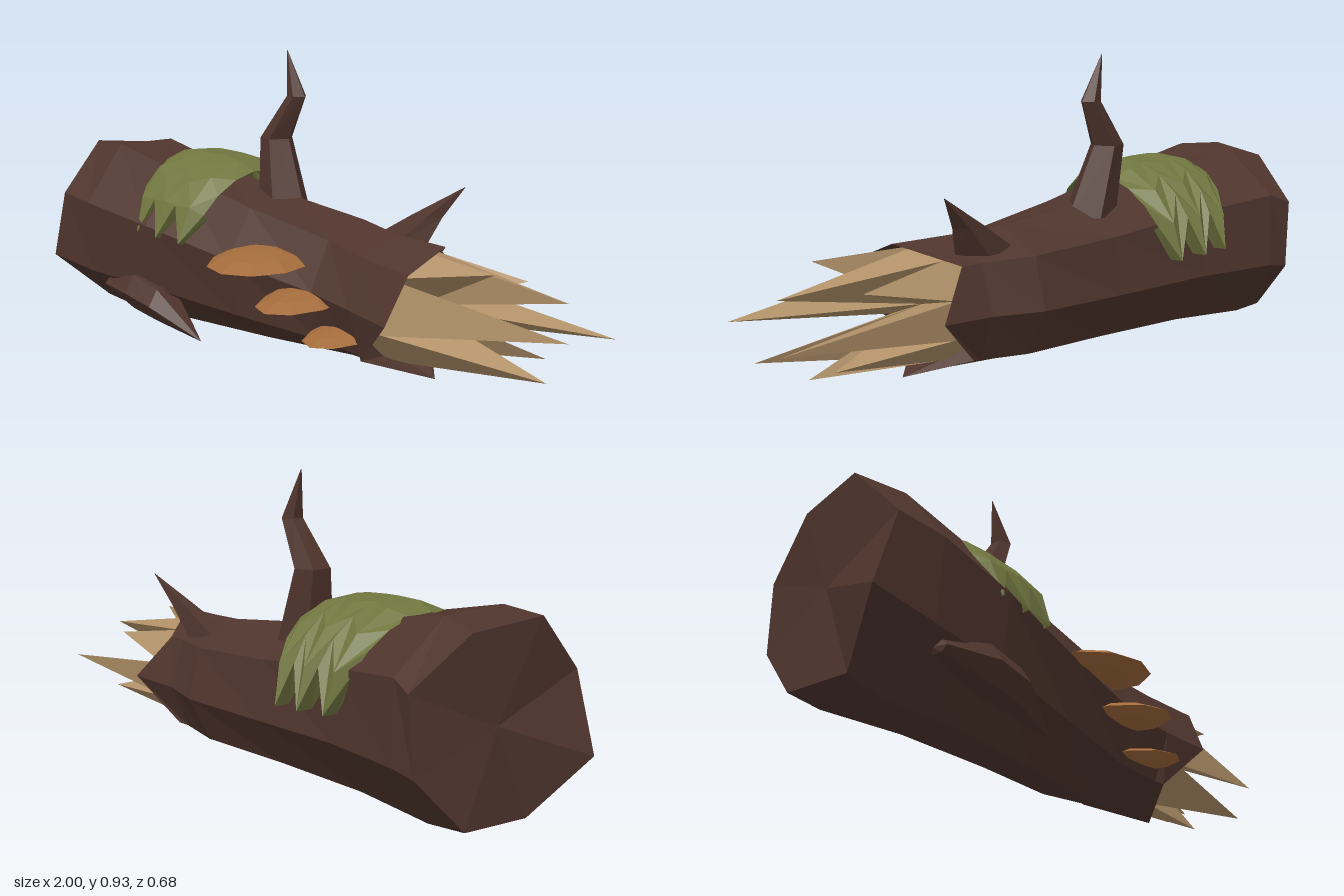
import * as THREE from 'three';

const mat = (name, color, side = THREE.FrontSide) => {
  const m = new THREE.MeshStandardMaterial({ color, side });
  m.name = name;
  return m;
};

// Faceted geometry from a list of triangles (each three [x, y, z] points)
function facets(tris) {
  const g = new THREE.BufferGeometry();
  g.setAttribute('position', new THREE.Float32BufferAttribute(tris.flat(2), 3));
  g.computeVertexNormals();
  return g;
}

// Skin between successive rings; optional centre points close the two ends
function loft(rings, startCentre, endCentre) {
  const tris = [], n = rings[0].length, last = rings[rings.length - 1];
  for (let i = 0; i < n; i++) {
    const j = (i + 1) % n;
    for (let r = 0; r + 1 < rings.length; r++) {
      const A = rings[r], B = rings[r + 1];
      tris.push([A[i], B[i], A[j]], [B[i], B[j], A[j]]);
    }
    if (startCentre) tris.push([startCentre, rings[0][i], rings[0][j]]);
    if (endCentre) tris.push([endCentre, last[j], last[i]]);
  }
  return facets(tris);
}

const ring = (n, fn) => Array.from({ length: n }, (_, i) => fn((i / n) * Math.PI * 2, i));
const rad = THREE.MathUtils.degToRad;

export function createModel() {
  const group = new THREE.Group();
  const bark = mat('bark', 0x4f352d);
  const wood = mat('splinteredWood', 0xb29269);
  const moss = mat('moss', 0x70763f, THREE.DoubleSide);
  const fungus = mat('fungus', 0xa36b3b);
  const add = (name, geo, material) => {
    const m = new THREE.Mesh(geo, material);
    m.name = name;
    group.add(m);
    return m;
  };

  // Trunk: eight-sided rings [x, centre y, centre z, radius y, radius z, twist]
  const buttX = [-0.93, -0.94, -0.9, -0.85, -0.86, -0.9, -0.91, -1];
  const lipX = [0.49, 0.52, 0.53, 0.4, 0.51, 0.36, 0.5, 0.35];
  const bulge = [1, 1.01, 0.92, 1, 0.94, 0.97, 1, 1];
  const sections = [
    [buttX, 0.305, -0.05, 0.3, 0.305, 22],
    [-0.78, 0.305, -0.04, 0.315, 0.305, 18],
    [-0.5, 0.28, -0.025, 0.28, 0.27, 16],
    [-0.15, 0.24, -0.03, 0.24, 0.235, 12],
    [0.17, 0.215, -0.05, 0.215, 0.22, 6],
    [0.33, 0.205, -0.02, 0.205, 0.205, 3],
    [lipX, 0.2, -0.01, 0.2, 0.225, 0],
    [0.34, 0.21, -0.015, 0.165, 0.17, 0],
  ];
  const trunkRings = sections.map(([x, cy, cz, ry, rz, twist]) => ring(8, (a, i) => {
    const t = a + rad(twist), k = THREE.MathUtils.lerp(1, bulge[i], twist / 22);
    return [Array.isArray(x) ? x[i] : x, cy + Math.sin(t) * ry * k, cz + Math.cos(t) * rz * k];
  }));
  add('trunk', loft(trunkRings, [-0.9, 0.3, -0.05], [0.34, 0.21, -0.015]), bark);

  // Splinters: [angle, tip x, tip radius], each a pyramid leaning out of the broken end
  const spikes = [
    [10, 1, 0.105], [63, 0.75, 0.175], [105, 0.92, 0.09], [145, 0.72, 0.165],
    [190, 0.99, 0.165], [225, 0.8, 0.16], [260, 0.83, 0.15], [310, 0.93, 0.14],
  ];
  const polar = (deg, r, x) => [x, 0.21 + Math.sin(rad(deg)) * r, -0.015 + Math.cos(rad(deg)) * r];
  const heart = [0.43, 0.21, -0.015];
  const splinters = [];
  spikes.forEach(([a, x, r], i) => {
    const prev = i ? spikes[i - 1][0] : spikes[7][0] - 360;
    const next = i < 7 ? spikes[i + 1][0] : spikes[0][0] + 360;
    const a0 = (a + prev) / 2, a1 = (a + next) / 2;
    const p0 = polar(a0, 0.174, 0.43), p1 = polar(a1, 0.174, 0.43);
    const q0 = polar(a0, 0.174, 0.33), q1 = polar(a1, 0.174, 0.33);
    const tip = polar(a, r, x);
    splinters.push([p0, tip, p1], [tip, p0, heart], [p1, tip, heart], [q0, p0, q1], [p0, p1, q1]);
  });
  add('splinters', facets(splinters), wood);

  // Upright branches: horizontal rings [x, y, z, radius x, radius z]
  const branch = (name, rows) => add(name, loft(rows.map(([x, y, z, rx, rz]) =>
    ring(5, (a) => [x + Math.cos(a) * rx, y, z + Math.sin(a) * rz]))), bark);
  branch('crookedBranch', [
    [-0.17, 0.42, -0.08, 0.085, 0.088], [-0.225, 0.64, -0.1, 0.053, 0.057],
    [-0.145, 0.78, -0.11, 0.034, 0.032], [-0.19, 0.925, -0.113, 0.001, 0.001],
  ]);
  branch('brokenTwig', [
    [0.27, 0.36, -0.11, 0.11, 0.065], [0.36, 0.45, -0.145, 0.055, 0.034],
    [0.47, 0.545, -0.183, 0.001, 0.001],
  ]);

  // Root stub leaning forward and down to the ground
  const stub = [
    [-0.73, 0.125, 0.19, 0.02, 0.035], [-0.57, 0.125, 0.195, 0.065, 0.075],
    [-0.45, 0.1, 0.2, 0.06, 0.07], [-0.28, 0.005, 0.2, 0.001, 0.001],
  ];
  add('rootStub', loft(stub.map(([x, y, z, ry, rz]) =>
    ring(6, (a) => [x, y + Math.sin(a) * ry, z + Math.cos(a) * rz])), [-0.74, 0.125, 0.18]), bark);

  // Moss: a domed sheet draped over the trunk, its zigzag ends tucked in under the tips
  const cols = 6, rows = 7, sheet = [];
  const mossPoint = (c, r) => {
    const u = c / cols, v = THREE.MathUtils.clamp(r / rows, 0, 1), drip = c % 2;
    const ang = rad(THREE.MathUtils.lerp(drip ? 10 : 33, drip ? 177 : 152, v));
    const spread = 0.19 - 0.04 * Math.pow(2 * v - 1, 2);
    const dome = 1 - Math.pow(2 * u - 1, 4);
    const tucked = r < 0 || r > rows;
    const radius = tucked ? 0.24 : 0.27 + 0.035 * dome - 0.008 * Math.pow(2 * v - 1, 2);
    return [-0.435 + (2 * u - 1) * spread, 0.288 - 0.02 * u + Math.sin(ang) * radius,
      -0.043 + Math.cos(ang) * radius];
  };
  for (let c = 0; c < cols; c++) for (let r = -1; r <= rows; r++) {
    const a = mossPoint(c, r), b = mossPoint(c + 1, r);
    const d = mossPoint(c, r + 1), e = mossPoint(c + 1, r + 1);
    if (c % 2) sheet.push([a, b, d], [b, e, d]);
    else sheet.push([a, b, e], [a, e, d]);
  }
  add('mossPatch', facets(sheet), moss);

  // Shelf fungi: flattened caps half sunk into the bark, drooping slightly
  const profile = [[0, -0.022], [0.65, -0.016], [1, 0], [0.7, 0.025], [0.3, 0.04], [0, 0.042]]
    .map(([x, y]) => new THREE.Vector2(x, y));
  [[-0.035, 0.302, 0.17, 0.165, 0.17, 1], [0.125, 0.206, 0.14, 0.125, 0.18, 0.9],
    [0.255, 0.117, 0.1, 0.105, 0.165, 0.7]].forEach(([x, y, z, rx, rz, h], i) => {
    const g = new THREE.LatheGeometry(profile, 10).scale(rx, h, rz).toNonIndexed();
    g.computeVertexNormals();
    const cap = add('shelfFungus' + (i + 1), g, fungus);
    cap.position.set(x, y, z);
    cap.rotation.x = 0.07;
  });

  return group;
}
